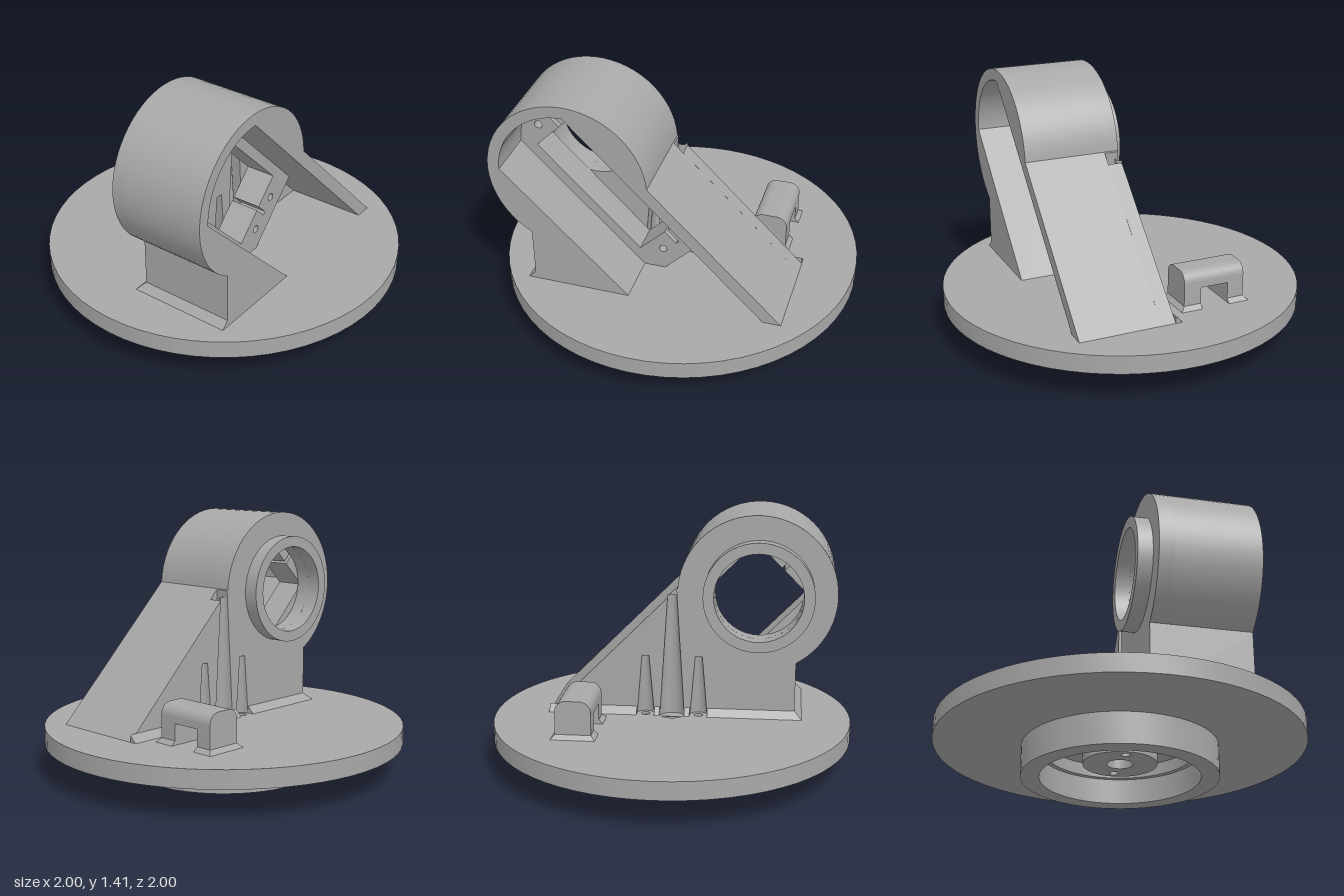
import * as THREE from 'three';
import { toCreasedNormals } from 'three/addons/utils/BufferGeometryUtils.js';

const grey = new THREE.MeshStandardMaterial({ color: 0xa8a8a8, side: THREE.DoubleSide });
grey.name = 'grey plastic';

const CX = -0.47, CY = 0.97;           // axis of the round housing
const DECK = 0.27;                     // top of the disc
const FOOT = 0.25;                     // housing sinks slightly into the disc

function part(group, name, geometry) {
  const mesh = new THREE.Mesh(toCreasedNormals(geometry, 0.5), grey);
  mesh.name = name;
  group.add(mesh);
  return mesh;
}

const polygon = (pts, Type = THREE.Shape) => new Type(pts.map(([x, y]) => new THREE.Vector2(x, y)));
const circle = (x, y, r, Type = THREE.Path) => new Type().absarc(x, y, r, 0, Math.PI * 2, false);

function slab(shape, z0, z1, curveSegments = 20) {
  const g = new THREE.ExtrudeGeometry(shape, { depth: z1 - z0, bevelEnabled: false, curveSegments });
  return g.translate(0, 0, z0);
}

// move vertices by a rule
function warp(geometry, rule) {
  const p = geometry.attributes.position, v = new THREE.Vector3();
  for (let i = 0; i < p.count; i++) {
    rule(v.fromBufferAttribute(p, i));
    p.setXYZ(i, v.x, v.y, v.z);
  }
  return geometry;
}

// left wall and round top of the housing, ending at the head of the slope
function outerEdge(shape) {
  shape.moveTo(-0.69, FOOT);
  shape.lineTo(-0.69, 0.59);
  const start = Math.atan2(0.59 - CY, -0.69 - CX), end = Math.atan2(0.03, 0.44);
  shape.absarc(CX, CY, 0.44, start, end, true);
  return shape;
}

function buildBase(group) {
  // disc with the hollow collar below
  const profile = [[0.2, 0.21], [0.4, 0.21], [0.4, 0.14], [0.43, 0.14], [0.43, 0], [0.53, 0],
    [0.53, 0.17], [1, 0.17], [1, DECK], [0.2, DECK]].map(([x, y]) => new THREE.Vector2(x, y));
  part(group, 'turntable disc', new THREE.LatheGeometry(profile, 64));

  // centre boss with shaft hole and two screw holes
  const boss = circle(0, 0, 0.2, THREE.Shape);
  boss.holes.push(circle(0, 0, 0.07), circle(-0.15, 0, 0.025), circle(0.15, 0, 0.025));
  part(group, 'centre boss', slab(boss, 0.08, DECK, 64).rotateX(-Math.PI / 2));
}

function buildHousing(group) {
  // back wall, notched for the shaft and screw clearances
  const wall = outerEdge(new THREE.Shape());
  [[-0.025, 0.995], [-0.07, 0.255], [0.07, 0.255], [0.025, 0.945], [0.72, FOOT]]
    .forEach(([x, y]) => wall.lineTo(x, y));
  wall.holes.push(circle(CX - 0.01, CY, 0.245));
  for (const s of [-0.15, 0.15]) {
    wall.holes.push(polygon([[s - 0.05, 0.255], [s + 0.05, 0.255], [s + 0.02, 0.61], [s - 0.02, 0.61]], THREE.Path));
  }
  part(group, 'back wall', slab(wall, 0, 0.08));

  // rim around the open-ended diagonal pocket
  const rim = outerEdge(new THREE.Shape());
  rim.lineTo(0.72, FOOT);
  rim.lineTo(0.62, FOOT);
  rim.lineTo(CX, CY + 0.375);
  rim.absarc(CX, CY, 0.375, Math.PI / 2, Math.PI, false);
  rim.lineTo(-0.13, FOOT);
  part(group, 'pocket rim', slab(rim, 0.08, 0.54));

  // mounting plate inside the pocket, with motor opening, cable slits and screw holes
  const plate = new THREE.Shape();
  plate.moveTo(-0.05, FOOT);
  plate.lineTo(0.285, 0.585);
  plate.lineTo(CX, CY + 0.375);
  plate.absarc(CX, CY, 0.375, Math.PI / 2, Math.PI, false);
  plate.lineTo(-0.13, FOOT);
  plate.holes.push(polygon([
    [-0.75, 0.96], [-0.615, 1.095], [-0.68, 1.16], [-0.665, 1.175], [-0.6, 1.11], [-0.46, 1.25],
    [0.12, 0.67], [-0.015, 0.535], [0.05, 0.47], [0.035, 0.455], [-0.03, 0.52], [-0.175, 0.375],
  ], THREE.Path));
  for (const [x, y] of [[-0.6, 1.23], [-0.735, 1.09], [0.1, 0.54], [-0.04, 0.4]]) {
    plate.holes.push(circle(x, y, 0.022));
  }
  part(group, 'mounting plate', slab(plate, 0.08, 0.25));

  // bearing ring on the back
  const ring = circle(CX - 0.01, CY, 0.305, THREE.Shape);
  ring.holes.push(circle(CX - 0.01, CY, 0.245));
  part(group, 'bearing ring', slab(ring, -0.08, 0, 32));

  // tapered half-round grooves in the back wall
  for (const [x, top, rTop, rBase] of [[0, 0.96, 0.027, 0.07], [-0.15, 0.61, 0.02, 0.05], [0.15, 0.61, 0.02, 0.05]]) {
    const h = top - 0.255;
    const groove = new THREE.CylinderGeometry(rTop, rBase, h, 12, 1, true, -Math.PI / 2, Math.PI);
    part(group, 'clearance groove', groove.translate(x, 0.255 + h / 2, 0));
  }

  // chamfer strips along the foot, mitred at the back corner
  const section = polygon([[0, DECK], [0.04, DECK], [0, DECK + 0.04]]);
  for (const [x0, x1] of [[-0.69, -0.2], [-0.1, -0.07], [0.07, 0.1], [0.2, 0.7]]) {
    const strip = slab(section, x0, x1).rotateY(Math.PI / 2);
    warp(strip, (v) => { if (v.x < -0.68 && v.z < -0.03) v.x = -0.73; });
    part(group, 'back foot chamfer', strip);
  }
  const side = slab(polygon([[-0.69, DECK], [-0.69, DECK + 0.04], [-0.73, DECK]]), 0, 0.54);
  warp(side, (v) => { if (v.x < -0.72 && v.z < 0.01) v.z = -0.04; });
  part(group, 'side foot chamfer', side);
}

function buildCableLoop(group) {
  const x0 = 0.385, x1 = 0.58, top = 0.48, r = 0.06;
  const section = (bottom) => {
    const s = new THREE.Shape();
    s.moveTo(x0, bottom);
    s.lineTo(x1, bottom);
    s.absarc(x1 - r, top - r, r, 0, Math.PI / 2, false);
    s.absarc(x0 + r, top - r, r, Math.PI / 2, Math.PI, false);
    return s;
  };
  part(group, 'loop bridge', slab(section(0.385), -0.37, -0.21, 8));
  for (const [z0, z1, outward] of [[-0.465, -0.37, -1], [-0.21, -0.11, 1]]) {
    part(group, 'loop leg', slab(section(0.26), z0, z1, 8));
    // flared foot, wider at the bottom on the outer sides
    const mid = (z0 + z1) / 2;
    const foot = new THREE.BoxGeometry(x1 - x0, 0.024, z1 - z0).translate((x0 + x1) / 2, DECK + 0.012, mid);
    warp(foot, (v) => {
      if (v.y > DECK + 0.01) return;
      v.x += v.x > 0.48 ? 0.023 : -0.023;
      if ((v.z - mid) * outward > 0) v.z += 0.023 * outward;
    });
    part(group, 'loop foot', foot);
  }
}

export function createModel() {
  const model = new THREE.Group();
  model.name = 'tilted motor mount';
  for (const [name, build] of [['base', buildBase], ['housing', buildHousing], ['cable loop', buildCableLoop]]) {
    const group = new THREE.Group();
    group.name = name;
    build(group);
    model.add(group);
  }
  return model;
}
